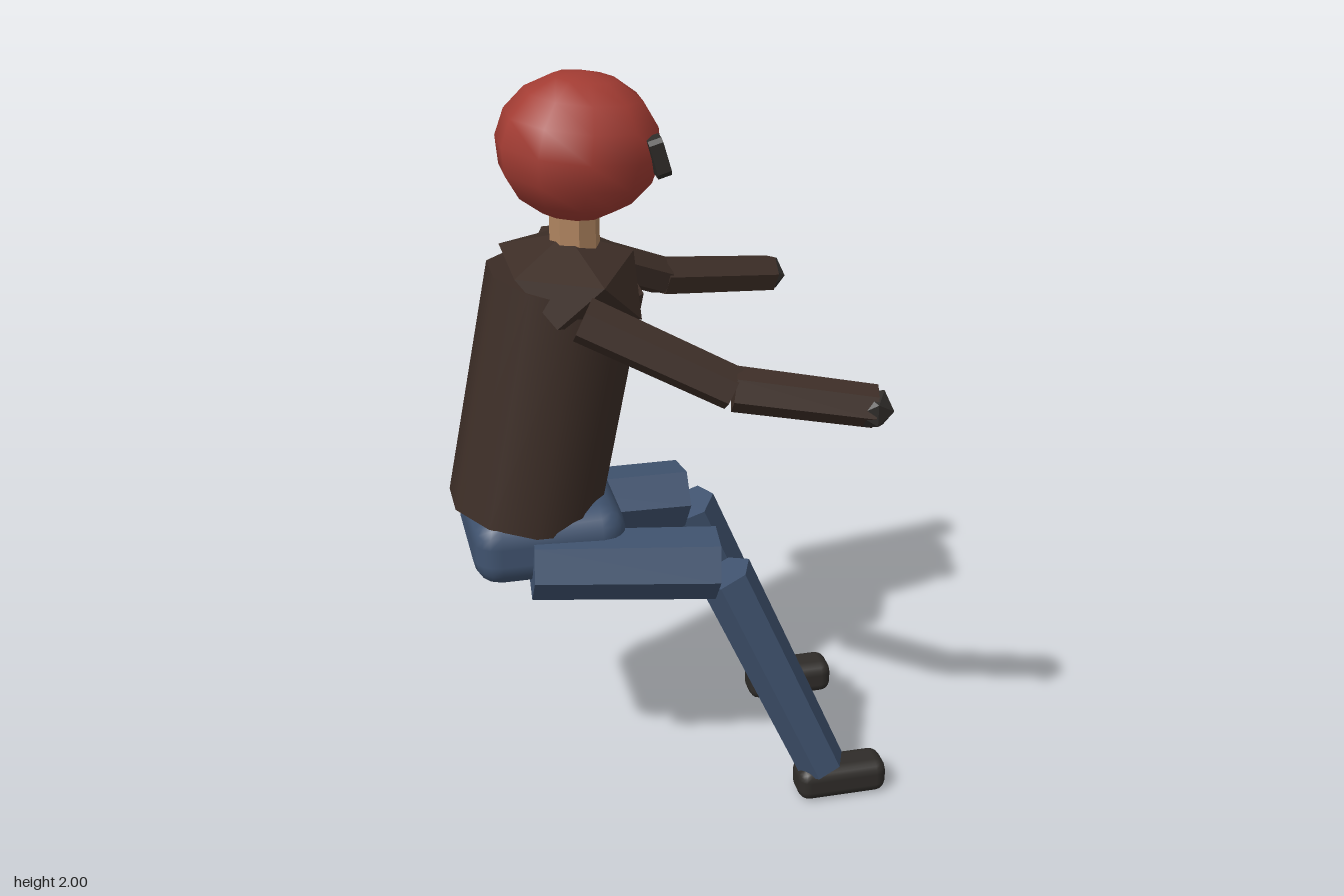
import * as THREE from 'three';
import { RoundedBoxGeometry } from 'three/addons/geometries/RoundedBoxGeometry.js';
import { ConvexGeometry } from 'three/addons/geometries/ConvexGeometry.js';

const mat = (color, flatShading = false) => new THREE.MeshStandardMaterial({ color, flatShading });
const V = (x, y, z) => new THREE.Vector3(x, y, z);

export function createModel() {
  const model = new THREE.Group();
  model.name = 'seatedRider';

  const jacket = mat(0x3d2e27), jacketFlat = mat(0x3d2e27, true);
  const jeans = mat(0x40536f), jeansFlat = mat(0x40536f, true);
  const dark = mat(0x2f2c29), darkFlat = mat(0x2f2c29, true);
  const skin = mat(0xb08560, true), red = mat(0xa33c33);

  const add = (name, geometry, material, x = 0, y = 0, z = 0) => {
    const mesh = new THREE.Mesh(geometry, material);
    mesh.name = name;
    mesh.position.set(x, y, z);
    model.add(mesh);
    return mesh;
  };

  // Faceted tapered tube between two points
  const limb = (name, a, b, ra, rb, material, sides = 6) => {
    const d = b.clone().sub(a);
    const mesh = add(name, new THREE.CylinderGeometry(rb, ra, d.length(), sides), material);
    mesh.position.copy(a).add(b).multiplyScalar(0.5);
    mesh.quaternion.setFromUnitVectors(V(0, 1, 0), d.normalize());
    return mesh;
  };

  // Torso leaning forward, pelvis below it
  const torso = add('torso', new THREE.CylinderGeometry(0.2, 0.2, 0.635, 10), jacket, -0.316, 1.172, 0);
  torso.rotation.z = -0.194;
  add('pelvis', new RoundedBoxGeometry(0.4, 0.19, 0.38, 2, 0.07), jeans, -0.333, 0.807, 0);

  // Faceted shoulder yoke
  const yoke = [V(-0.25, 1.6, 0), V(-0.08, 1.54, 0)];
  for (const s of [1, -1]) {
    yoke.push(
      V(-0.4, 1.537, s * 0.13), V(-0.2, 1.535, s * 0.235),
      V(-0.31, 1.425, s * 0.197), V(-0.09, 1.41, s * 0.14));
  }
  add('shoulders', new ConvexGeometry(yoke), jacketFlat);

  // Neck and helmet
  add('neck', new THREE.CylinderGeometry(0.063, 0.063, 0.16, 8), skin, -0.228, 1.62, 0);
  const helmetGeo = new THREE.SphereGeometry(1, 10, 8);
  helmetGeo.rotateY(Math.PI / 2);
  helmetGeo.scale(0.206, 0.182, 0.178);
  const helmet = add('helmet', helmetGeo, red, -0.215, 1.818, 0);
  helmet.rotation.z = -0.12;

  // U-shaped goggles on the face
  const u = new THREE.Shape();
  [[-0.11, -0.05], [0.11, -0.05], [0.125, -0.035], [0.125, 0.04], [0.115, 0.05], [0.08, 0.05],
    [0.07, 0.04], [0.07, -0.005], [-0.07, -0.005], [-0.07, 0.04], [-0.08, 0.05], [-0.115, 0.05],
    [-0.125, 0.04], [-0.125, -0.035]].forEach(([x, y], i) => (i ? u.lineTo(x, y) : u.moveTo(x, y)));
  const gogglesGeo = new THREE.ExtrudeGeometry(u, { depth: 0.035, bevelEnabled: false });
  gogglesGeo.translate(0, 0, -0.0175);
  gogglesGeo.rotateY(Math.PI / 2);
  const goggles = add('goggles', gogglesGeo, dark, -0.038, 1.807, 0);
  goggles.rotation.z = 0.28;

  // Arms and legs, mirrored across z
  for (const [s, side] of [[1, 'Front'], [-1, 'Back']]) {
    const shoulder = V(-0.26, 1.475, s * 0.265);
    const elbow = V(0.08, 1.315, s * 0.387);
    const wrist = V(0.41, 1.268, s * 0.46);
    limb('upperArm' + side, shoulder, elbow, 0.058, 0.055, jacketFlat);
    limb('forearm' + side, elbow, wrist, 0.056, 0.053, jacketFlat);
    add('hand' + side, new THREE.IcosahedronGeometry(0.053, 0), darkFlat, 0.402, 1.265, s * 0.465);

    limb('thigh' + side, V(-0.385, 0.765, s * 0.157), V(0.09, 0.735, s * 0.2), 0.09, 0.095, jeansFlat);
    limb('shin' + side, V(0.115, 0.7, s * 0.2), V(0.385, 0.09, s * 0.255), 0.074, 0.066, jeansFlat);
    add('foot' + side, new RoundedBoxGeometry(0.25, 0.096, 0.108, 2, 0.032), dark, 0.437, 0.05, s * 0.255);
  }

  return model;
}
